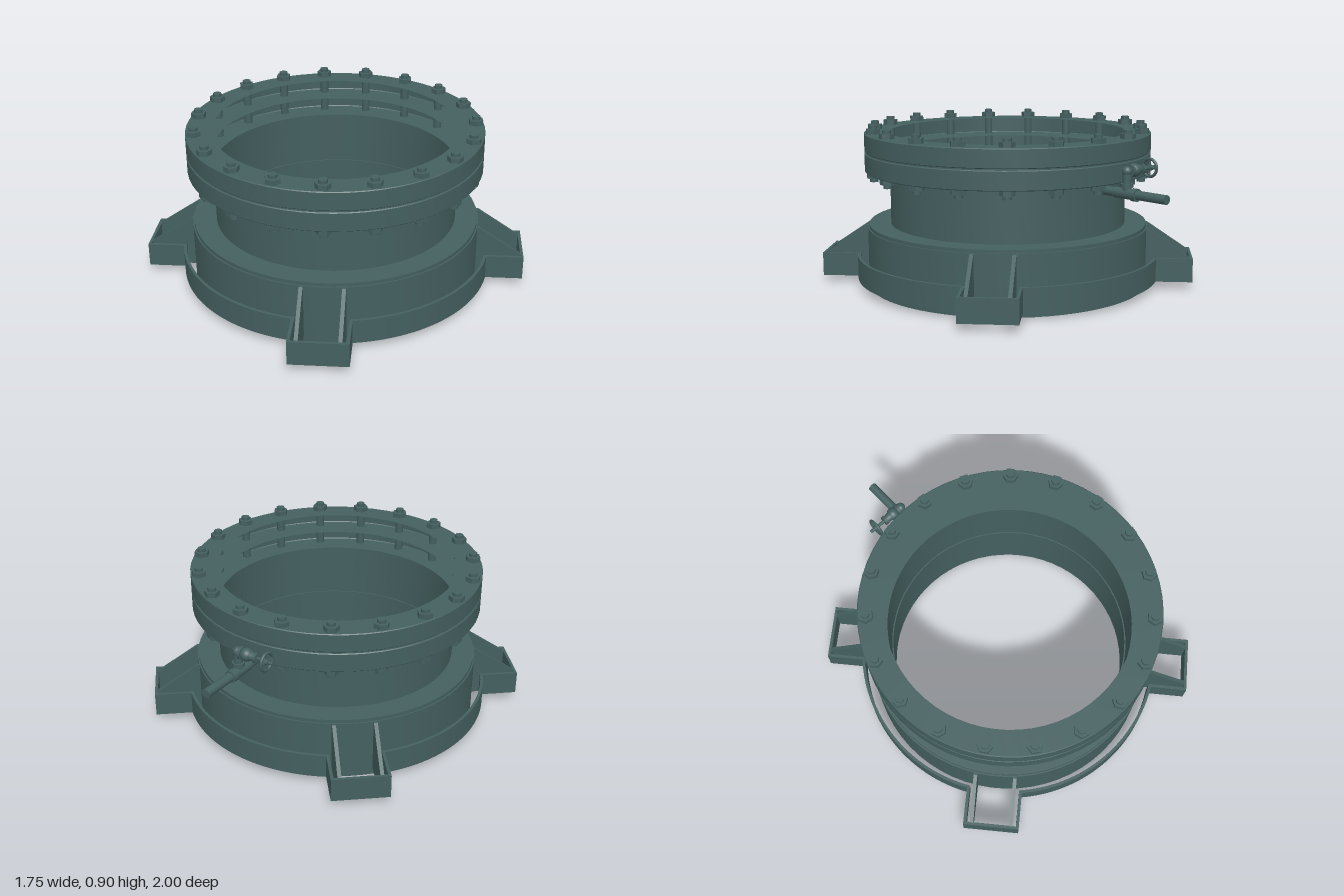
import * as THREE from 'three';
import { toCreasedNormals } from 'three/addons/utils/BufferGeometryUtils.js';

const SEG = 64;
const CENTRE_Z = 0.125;
const LUG_ANGLES = [49, 139, 229, 319].map(THREE.MathUtils.degToRad);

const material = new THREE.MeshStandardMaterial({ color: 0x456060, side: THREE.DoubleSide });

function add(parent, name, geometry, x = 0, y = 0, z = 0) {
  const mesh = new THREE.Mesh(geometry, material);
  mesh.name = name;
  mesh.position.set(x, y, z);
  parent.add(mesh);
  return mesh;
}

// Revolved sheet from [radius, height] pairs, with sharp corners
function lathe(points) {
  const geo = new THREE.LatheGeometry(points.map(([r, y]) => new THREE.Vector2(r, y)), SEG);
  return toCreasedNormals(geo, 0.6);
}

const rod = (r, h, sides = 20) => new THREE.CylinderGeometry(r, r, h, sides);

// Cylinder lying along x (from x0 to x1)
function rodX(parent, name, r0, r1, x0, x1, y, z) {
  const geo = new THREE.CylinderGeometry(r1, r0, Math.abs(x1 - x0), 20).rotateZ(x1 > x0 ? -Math.PI / 2 : Math.PI / 2);
  return add(parent, name, geo, (x0 + x1) / 2, y, z);
}

// Outline of the band: arcs of radius r joined by four rectangular lugs
function bandOutline(r, halfWidth, reach, target) {
  const half = Math.asin(halfWidth / r);
  LUG_ANGLES.forEach((a, i) => {
    const c = Math.cos(a), s = Math.sin(a);
    const corner = (u, v) => [u * c - v * s, u * s + v * c];
    const start = r * Math.cos(half);
    if (i === 0) target.moveTo(...corner(start, -halfWidth));
    target.lineTo(...corner(reach, -halfWidth));
    target.lineTo(...corner(reach, halfWidth));
    target.lineTo(...corner(start, halfWidth));
    target.absarc(0, 0, r, a + half, a + Math.PI / 2 - half, false);
  });
  return target;
}

function buildBand(parent) {
  const shape = bandOutline(0.843, 0.152, 1.03, new THREE.Shape());
  shape.holes.push(bandOutline(0.827, 0.136, 1.014, new THREE.Path()));
  const geo = new THREE.ExtrudeGeometry(shape, { depth: 0.13, bevelEnabled: false, curveSegments: 16 });
  geo.rotateX(Math.PI / 2);
  add(parent, 'lugBand', toCreasedNormals(geo, 0.4), 0, 0.17, 0);
}

// Pairs of sloping plates inside each lug
function buildGussets(parent) {
  const shape = new THREE.Shape([
    [0.66, 0.04], [1.016, 0.04], [1.016, 0.17], [0.785, 0.325], [0.66, 0.325],
  ].map(([x, y]) => new THREE.Vector2(x, y)));
  const geo = new THREE.ExtrudeGeometry(shape, { depth: 0.02, bevelEnabled: false }).translate(0, 0, -0.01);
  for (const a of LUG_ANGLES) {
    const lug = new THREE.Group();
    lug.name = 'lugGussets';
    lug.rotation.y = -a;
    for (const side of [-1, 1]) add(lug, 'gusset', geo, 0, 0, side * 0.107);
    parent.add(lug);
  }
}

function buildBolts(parent) {
  const count = 19;
  for (let i = 0; i < count; i++) {
    const a = THREE.MathUtils.degToRad(86.4) + (i / count) * Math.PI * 2;
    const bolt = new THREE.Group();
    bolt.name = 'bolt';
    bolt.position.set(0.748 * Math.cos(a), 0, 0.748 * Math.sin(a));
    bolt.rotation.y = -a;
    add(bolt, 'stud', rod(0.023, 0.307, 12), 0, 0.7465, 0);
    const nut = toCreasedNormals(rod(0.041, 0.027, 6), 0.5);
    add(bolt, 'topNut', nut, 0, 0.868, 0);
    add(bolt, 'bottomNut', nut, 0, 0.627, 0);
    parent.add(bolt);
  }
}

// Drain pipe at the back with a small hand valve
function buildValve(parent) {
  const valve = new THREE.Group();
  valve.name = 'drainValve';
  const z = -0.745;
  const alongZ = (name, r, z0, z1) =>
    add(valve, name, rod(r, z1 - z0).rotateX(Math.PI / 2), 0, 0.602, (z0 + z1) / 2);
  alongZ('pipe', 0.024, -1, -0.54);
  alongZ('pipeSleeve', 0.028, -0.8, -0.67);
  alongZ('pipeCollar', 0.033, -0.815, -0.785);

  add(valve, 'riser', rod(0.022, 0.12), 0, 0.66, z);
  add(valve, 'riserCollar', rod(0.032, 0.02), 0, 0.645, z);
  const y = 0.716;
  add(valve, 'elbow', new THREE.SphereGeometry(0.026, 20, 14), 0, y, z);
  rodX(valve, 'bodyCollar', 0.033, 0.033, -0.015, -0.032, y, z);
  add(valve, 'body', new THREE.SphereGeometry(0.035, 20, 14), -0.055, y, z);
  rodX(valve, 'bonnet', 0.028, 0.018, -0.06, -0.12, y, z);
  rodX(valve, 'bonnetNut', 0.026, 0.026, -0.105, -0.122, y, z);
  rodX(valve, 'stem', 0.009, 0.009, -0.11, -0.215, y, z);
  rodX(valve, 'wheelHub', 0.016, 0.016, -0.165, -0.19, y, z);

  const wheel = new THREE.Group();
  wheel.name = 'handwheel';
  wheel.position.set(-0.177, y, z);
  add(wheel, 'rim', new THREE.TorusGeometry(0.046, 0.008, 10, 32).rotateY(Math.PI / 2));
  for (let i = 0; i < 2; i++) {
    add(wheel, 'spoke', rod(0.006, 0.092, 8)).rotation.x = i * Math.PI / 2;
  }
  valve.add(wheel);
  parent.add(valve);
}

export function createModel() {
  const model = new THREE.Group();
  model.name = 'flangedCasing';
  const casing = new THREE.Group();
  casing.name = 'casing';
  casing.position.z = CENTRE_Z;
  model.add(casing);

  // Base skirt, open underneath, with its stepped lid
  add(casing, 'baseSkirt', lathe([[0.772, 0], [0.783, 0], [0.783, 0.327], [0.772, 0.327], [0.772, 0]]));
  add(casing, 'baseLid', lathe([[0.648, 0.327], [0.775, 0.327], [0.775, 0.346], [0.648, 0.346], [0.648, 0.327]]));
  add(casing, 'innerSkirt', lathe([[0.66, 0], [0.66, 0.327]]));
  // Upper barrel
  add(casing, 'barrel', lathe([[0.655, 0.345], [0.655, 0.641]]));

  // Two channel-shaped flanges, open on the inside, with a gasket between
  for (const [name, y0, y1] of [['lowerFlange', 0.641, 0.744], ['upperFlange', 0.752, 0.853]]) {
    add(casing, name, lathe([
      [0.654, y0], [0.789, y0], [0.793, y0 + 0.004], [0.793, y1 - 0.004], [0.789, y1], [0.654, y1],
    ]));
  }
  add(casing, 'gasket', lathe([[0.785, 0.744], [0.785, 0.752]]));

  buildBand(casing);
  buildGussets(casing);
  buildBolts(casing);
  buildValve(model);
  return model;
}
